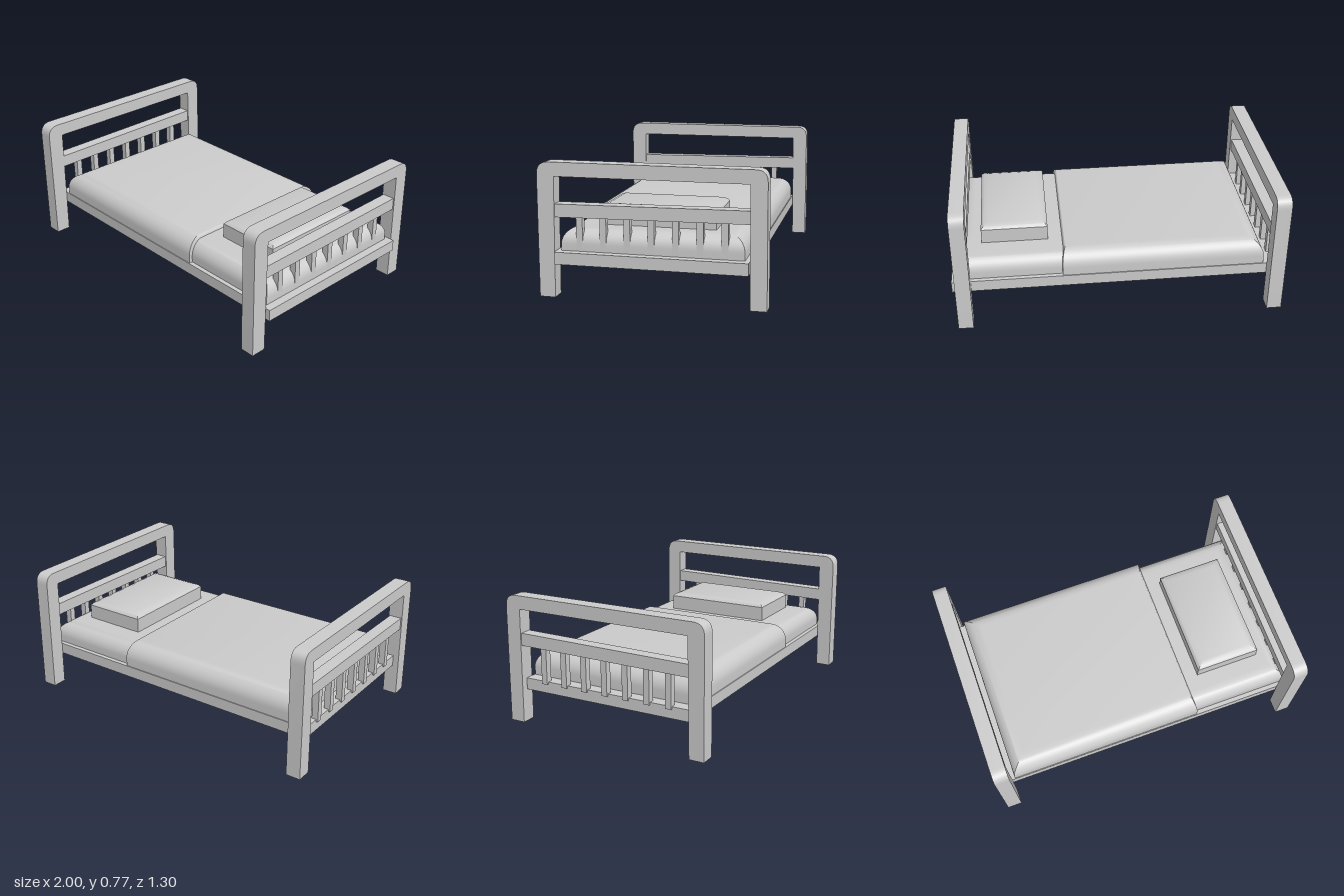
import * as THREE from 'three';
import { toCreasedNormals } from 'three/addons/utils/BufferGeometryUtils.js';

const material = new THREE.MeshStandardMaterial({ color: 0xcccccc });

function add(parent, name, geometry, x = 0, y = 0, z = 0) {
  const mesh = new THREE.Mesh(geometry, material);
  mesh.name = name;
  mesh.position.set(x, y, z);
  parent.add(mesh);
  return mesh;
}

// Stack of rectangles [y, x0, x1, halfDepth] joined by sides and closed on top
function stackedRectangles(levels) {
  const rings = levels.map(([y, x0, x1, d]) => [[x0, y, d], [x1, y, d], [x1, y, -d], [x0, y, -d]]);
  const pos = [];
  const quad = (a, b, c, d) => pos.push(...a, ...b, ...c, ...a, ...c, ...d);
  for (let k = 0; k < rings.length - 1; k++) {
    for (let i = 0; i < 4; i++) {
      const j = (i + 1) % 4;
      quad(rings[k][i], rings[k][j], rings[k + 1][j], rings[k + 1][i]);
    }
  }
  quad(...rings[rings.length - 1]);
  quad(...[...rings[0]].reverse());
  const g = new THREE.BufferGeometry();
  g.setAttribute('position', new THREE.Float32BufferAttribute(pos, 3));
  return toCreasedNormals(g, 0.6);
}

// Padded slab with rounded upper edges; endInset is the rounding at the +x end
function paddedSlab(x0, x1, halfDepth, bottom, top, radius, endInset) {
  const levels = [[bottom, x0, x1, halfDepth]];
  const steps = 10;
  for (let i = 0; i <= steps; i++) {
    const a = (i / steps) * Math.PI / 2;
    const s = 1 - Math.cos(a);
    levels.push([top - radius + radius * Math.sin(a), x0 + radius * s, x1 - endInset * s, halfDepth - radius * s]);
  }
  return stackedRectangles(levels);
}

// Outline in (-z, y), given thickness along x and centred on x = 0
function extrudeAlongX(shape, thickness) {
  const g = new THREE.ExtrudeGeometry(shape, { depth: thickness, bevelEnabled: false, curveSegments: 8 });
  g.translate(0, 0, -thickness / 2).rotateY(Math.PI / 2);
  return toCreasedNormals(g, 0.6);
}

function createEndFrame(name, x) {
  const frame = new THREE.Group();
  frame.name = name;
  frame.position.x = x;

  // Two posts and the top rail in one rounded arch
  const w = 0.65, h = 0.775, r = 0.07;
  const arch = new THREE.Shape();
  arch.moveTo(-w, 0);
  arch.lineTo(-0.558, 0);
  arch.lineTo(-0.55, 0.695);
  arch.lineTo(0.55, 0.695);
  arch.lineTo(0.558, 0);
  arch.lineTo(w, 0);
  arch.lineTo(w - 0.005, h - r);
  arch.quadraticCurveTo(w - 0.005, h, w - r, h);
  arch.lineTo(-w + r, h);
  arch.quadraticCurveTo(-w, h, -w, h - r);
  arch.closePath();
  add(frame, 'postsAndTopRail', extrudeAlongX(arch, 0.09));

  // Slightly sloping middle rail
  const rail = new THREE.Shape([[-0.57, 0.463], [0.57, 0.476], [0.57, 0.551], [-0.57, 0.538]]
    .map(([a, b]) => new THREE.Vector2(a, b)));
  add(frame, 'middleRail', extrudeAlongX(rail, 0.075));

  // Upright slats between the base and the middle rail
  for (let i = -3; i <= 3; i++) {
    add(frame, 'slat', new THREE.BoxGeometry(0.04, 0.23, 0.037), 0, 0.37, 0.002 + i * 0.138);
  }
  return frame;
}

export function createModel() {
  const bed = new THREE.Group();
  bed.name = 'bed';

  bed.add(createEndFrame('footFrame', -0.955), createEndFrame('headFrame', 0.93));

  // Base board, reaching out past the head frame
  add(bed, 'base', new THREE.BoxGeometry(1.965, 0.07, 1.1), 0.0175, 0.235, 0);

  // Mattress with a slightly larger blanket over it
  add(bed, 'mattress', paddedSlab(-0.86, 0.95, 0.523, 0.265, 0.4, 0.09, 0.09));
  add(bed, 'blanket', paddedSlab(-0.89, 0.335, 0.545, 0.265, 0.42, 0.1, 0.025));

  // Pillow with bevelled upper edges
  const pillow = [[0.39, 0], [0.49, 0], [0.506, 0.015], [0.517, 0.045]];
  add(bed, 'pillow', stackedRectangles(pillow.map(([y, i]) => [y, 0.41 + i, 0.812 - i, 0.338 - i])));

  return bed;
}
